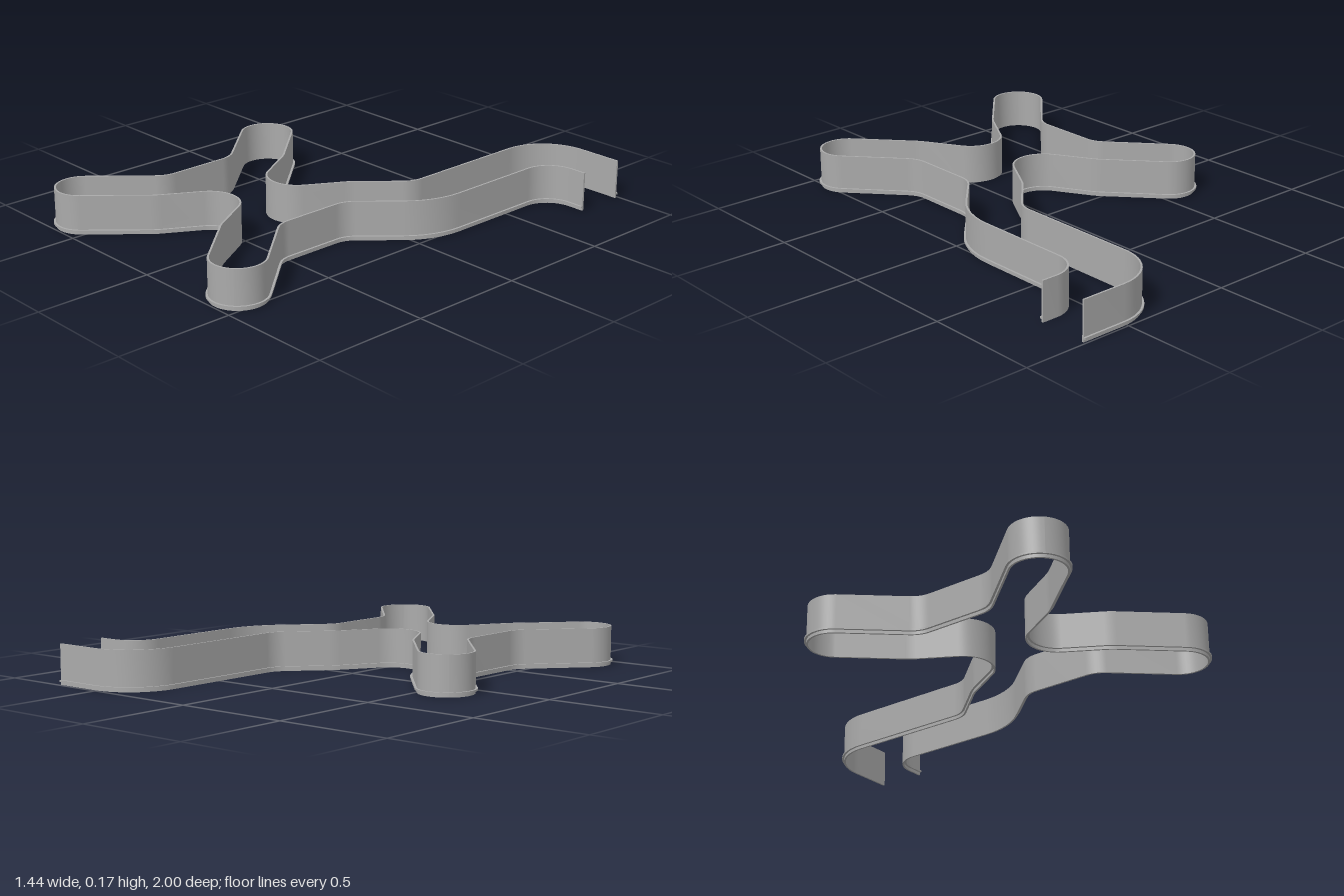
import * as THREE from 'three';

// Corner list [x, z, fillet radius] of one quarter: valley side, rounded arm, waist
const quarter = [
  [-0.305, 0.022, 0.23],
  [-0.588, -0.295, 0.1162],
  [-0.761, -0.139, 0.1162],
  [-0.46, 0.2, 0.117],
];
const midX = -0.095, midZ = 0.372;
const flipX = ([x, z, r]) => [2 * midX - x, z, r];
const flipZ = ([x, z, r]) => [x, 2 * midZ - z, r];

const valley = [midX, 0.382, 0.127];
const corners = [
  [0.717, -0.99, 0], [0.29, -0.99, 0.225], [0.29, -0.172, 0.117],
  flipX(quarter[0]), valley,
  ...quarter,
  ...quarter.map(flipZ).reverse(),
  flipZ(valley),
  ...quarter.map(flipZ).map(flipX),
  flipX(quarter[3]),
  [0.52, -0.077, 0.35], [0.52, -0.762, 0.125], [0.717, -0.762, 0],
];

// Round every corner; each sample holds its position and the outward direction
function roundedPath(list) {
  const samples = [];
  const add = (p, t) => samples.push({ p, n: new THREE.Vector2(-t.y, t.x) });
  const pts = list.map(([x, z]) => new THREE.Vector2(x, z));
  const dirs = pts.slice(1).map((p, i) => p.clone().sub(pts[i]).normalize());
  add(pts[0], dirs[0]);
  for (let i = 1; i < pts.length - 1; i++) {
    const a = dirs[i - 1], b = dirs[i], r = list[i][2];
    const turn = Math.atan2(a.cross(b), a.dot(b));
    const side = Math.sign(turn);
    const start = pts[i].clone().addScaledVector(a, -r * Math.tan(Math.abs(turn) / 2));
    const centre = start.clone().add(new THREE.Vector2(-a.y, a.x).multiplyScalar(side * r));
    const steps = Math.max(4, Math.ceil(Math.abs(turn) / 0.14));
    for (let k = 0; k <= steps; k++) {
      const angle = turn * k / steps;
      add(start.clone().rotateAround(centre, angle),
        a.clone().rotateAround(new THREE.Vector2(), angle));
    }
  }
  add(pts[pts.length - 1], dirs[dirs.length - 1]);
  return samples;
}

// Sweep a rectangle (offsets n0..n1 outward, heights y0..y1) along the path
function sweep(path, n0, n1, y0, y1) {
  const profile = [[n0, y0], [n1, y0], [n1, y1], [n0, y1]];
  const position = [], index = [];
  const put = ({ p, n }, [o, y]) => position.push(p.x + n.x * o, y, p.y + n.y * o);
  // Four long faces with their own vertices, so the edges stay sharp
  profile.forEach((A, e) => {
    const B = profile[(e + 1) % 4];
    const base = position.length / 3;
    path.forEach((s, i) => {
      put(s, A);
      put(s, B);
      if (i === 0) return;
      const q = base + 2 * (i - 1);
      index.push(q, q + 2, q + 1, q + 1, q + 2, q + 3);
    });
  });
  // End caps
  [[path[0], profile], [path[path.length - 1], [...profile].reverse()]].forEach(([s, ring]) => {
    const c = position.length / 3;
    ring.forEach((v) => put(s, v));
    index.push(c, c + 1, c + 2, c, c + 2, c + 3);
  });
  const geometry = new THREE.BufferGeometry();
  geometry.setAttribute('position', new THREE.Float32BufferAttribute(position, 3));
  geometry.setIndex(index);
  geometry.computeVertexNormals();
  return geometry;
}

export function createModel() {
  const group = new THREE.Group();
  group.name = 'trackBorder';
  const grey = new THREE.MeshStandardMaterial({ color: 0xaaaaaa });
  grey.name = 'grey';
  const path = roundedPath(corners);

  const add = (name, geometry) => {
    const mesh = new THREE.Mesh(geometry, grey);
    mesh.name = name;
    group.add(mesh);
  };
  // Tall thin wall, and the narrow ridge along its outer foot
  add('wall', sweep(path, -0.008, 0, 0, 0.17));
  add('footRidge', sweep(path, -0.001, 0.009, 0.013, 0.021));
  return group;
}
